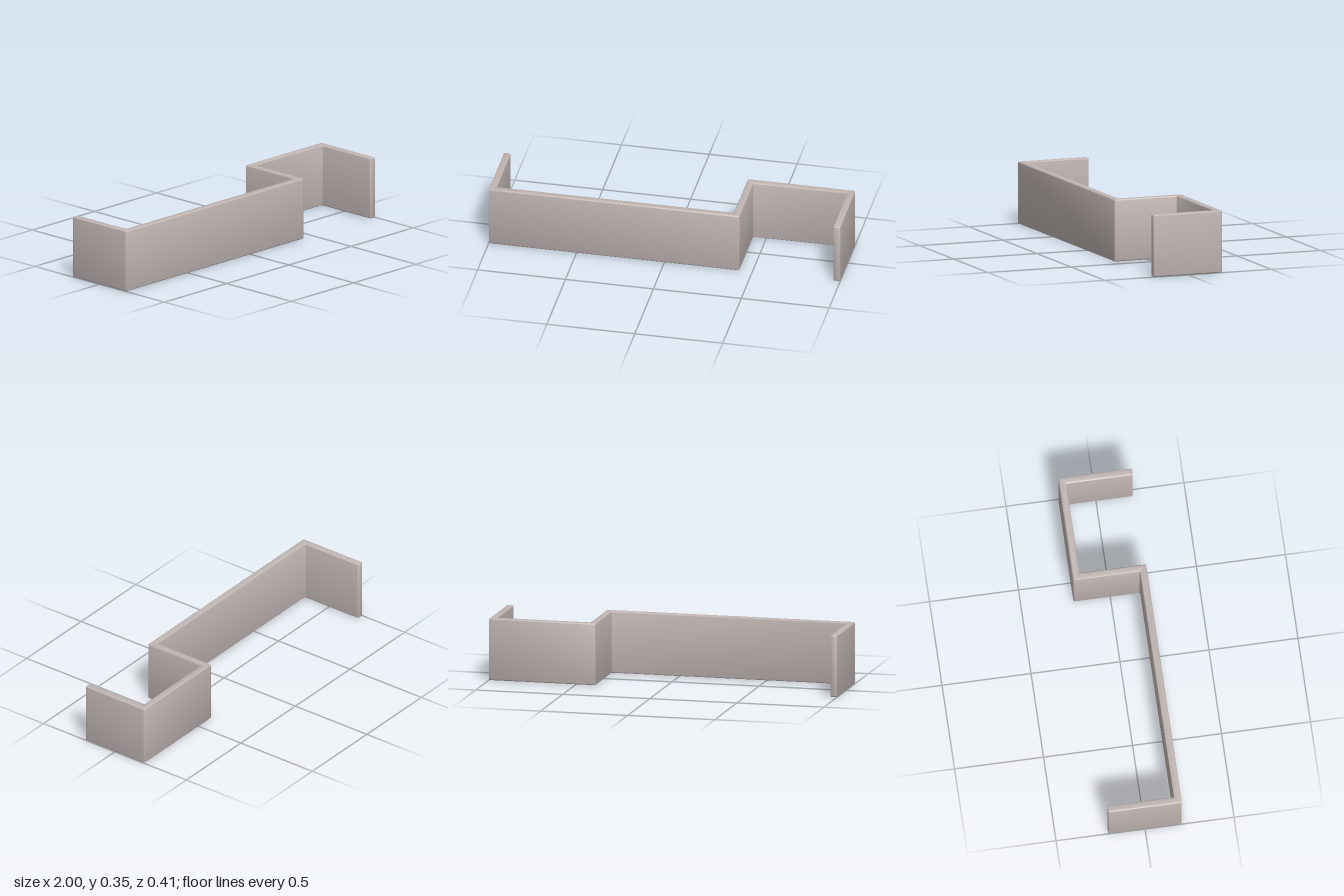
import * as THREE from 'three';
import { toCreasedNormals } from 'three/addons/utils/BufferGeometryUtils.js';

const HEIGHT = 0.35, DEPTH = 0.207, WALL = 0.04, BEVEL = 0.007, CORNER = 0.009;

// Closed outline whose corners are slightly rounded
function roundedOutline(points, radius) {
  const pts = points.map(([x, z]) => new THREE.Vector2(x, z));
  const shape = new THREE.Shape();
  pts.forEach((p, i) => {
    const prev = pts[(i + pts.length - 1) % pts.length];
    const next = pts[(i + 1) % pts.length];
    const a = p.clone().add(prev.clone().sub(p).setLength(radius));
    const b = p.clone().add(next.clone().sub(p).setLength(radius));
    if (i === 0) shape.moveTo(a.x, a.y);
    else shape.lineTo(a.x, a.y);
    shape.quadraticCurveTo(p.x, p.y, b.x, b.y);
  });
  shape.closePath();
  return shape;
}

export function createModel() {
  const group = new THREE.Group();
  group.name = 'foldedPanel';
  const warmGrey = new THREE.MeshStandardMaterial({ color: 0xc0b5b3 });
  warmGrey.name = 'warmGrey';

  // Plan of the folded strip: end flap, long front, step, short back, end flap
  const D = DEPTH, W = WALL, step = 0.427;
  const plan = roundedOutline([
    [-1, -D], [-1 + W, -D], [-1 + W, D - W], [step - W, D - W],
    [step - W, -D], [1, -D], [1, D], [1 - W, D],
    [1 - W, -D + W], [step, -D + W], [step, D], [-1, D],
  ], CORNER);

  // Raise the plan to full height with softened top and bottom edges
  const strip = new THREE.ExtrudeGeometry(plan, {
    depth: HEIGHT - 2 * BEVEL,
    bevelSize: BEVEL, bevelThickness: BEVEL, bevelOffset: -BEVEL,
    bevelSegments: 3, curveSegments: 4,
  });
  strip.rotateX(Math.PI / 2);
  strip.translate(0, HEIGHT - BEVEL, 0);

  const wall = new THREE.Mesh(toCreasedNormals(strip, 0.6), warmGrey);
  wall.name = 'foldedWall';
  group.add(wall);
  return group;
}
